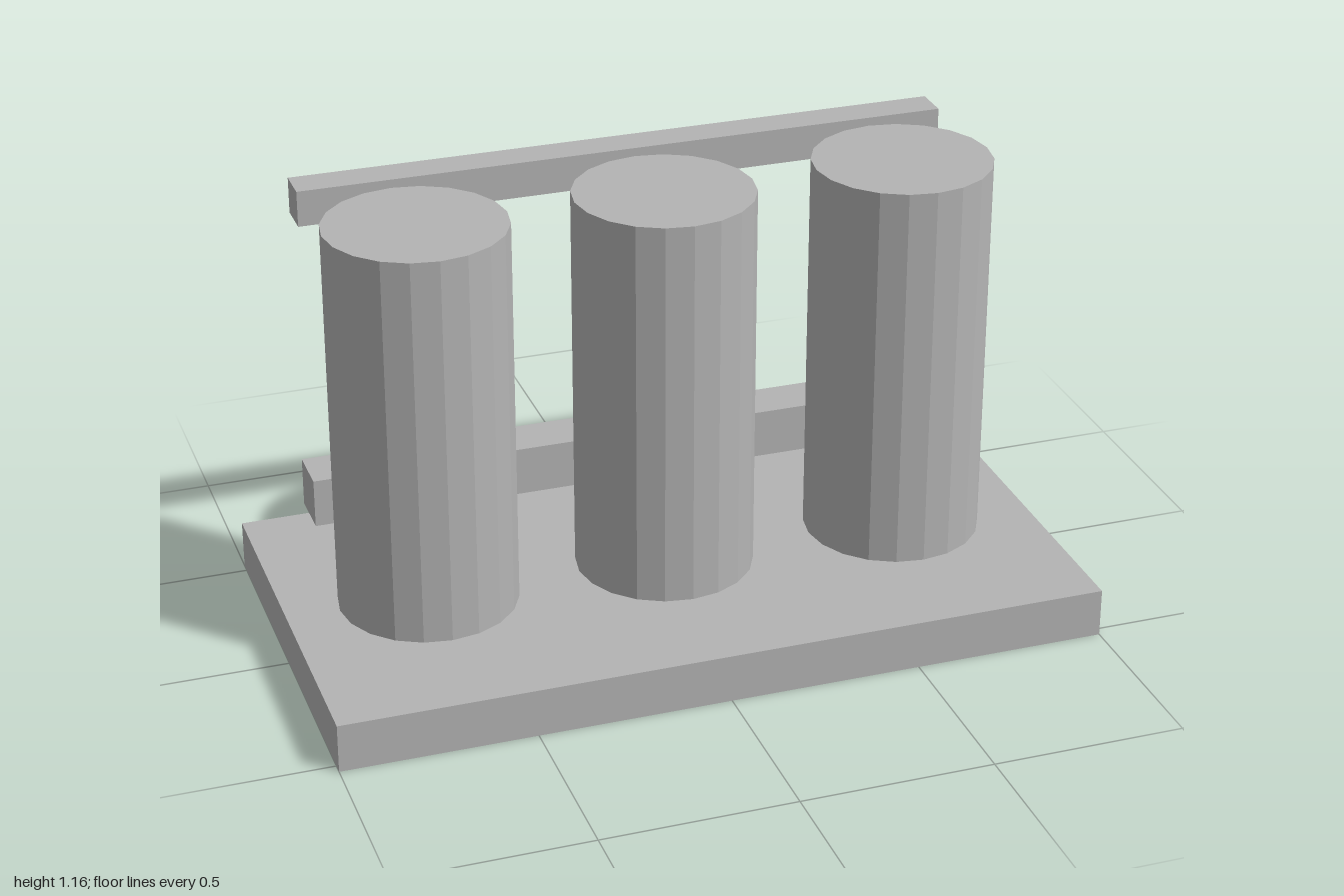
import * as THREE from 'three';

export function createModel() {
  const model = new THREE.Group();
  const grey = new THREE.MeshStandardMaterial({ color: 0xb4b4b4, flatShading: true });
  grey.name = 'grey';

  function add(name, geometry, x, y, z) {
    const mesh = new THREE.Mesh(geometry, grey);
    mesh.name = name;
    mesh.position.set(x, y, z);
    model.add(mesh);
  }

  // Base slab
  const baseTop = 0.128;
  add('base', new THREE.BoxGeometry(2, baseTop, 1.054), 0, baseTop / 2, 0);

  // Three upright cylinders in a row
  const height = 1.032;
  const column = new THREE.CylinderGeometry(0.231, 0.231, height, 20);
  ['rightCylinder', 'middleCylinder', 'leftCylinder'].forEach((name, i) => {
    add(name, column, (i - 1) * 0.632, baseTop + height / 2, 0);
  });

  // Two square rails floating behind the cylinders
  const railZ = -0.342;
  add('lowerRail', new THREE.BoxGeometry(1.71, 0.13, 0.13), 0, 0.29, railZ);
  add('upperRail', new THREE.BoxGeometry(1.71, 0.094, 0.094), 0, 1.107, railZ);

  return model;
}
